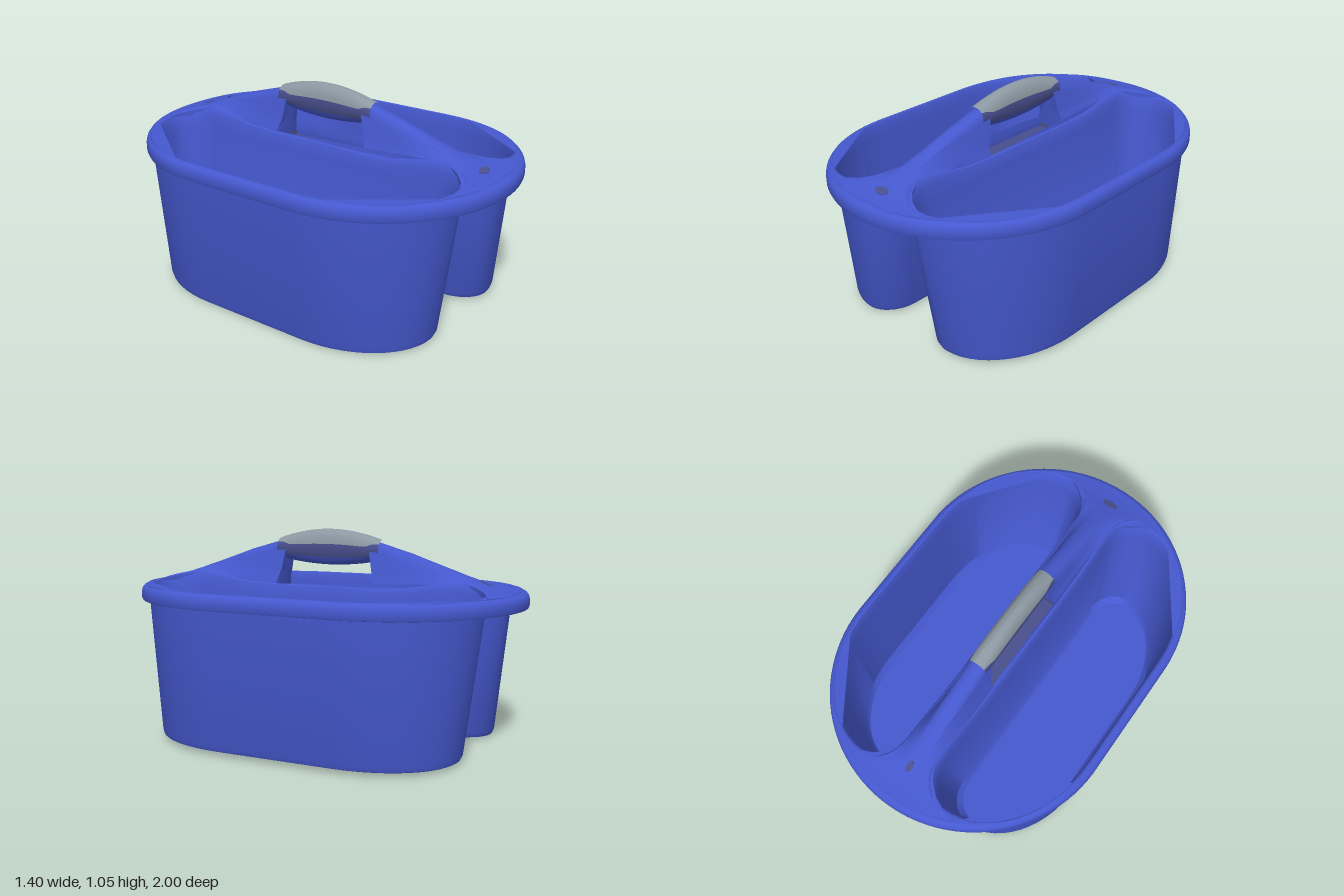
import * as THREE from 'three';
import { toCreasedNormals } from 'three/addons/utils/BufferGeometryUtils.js';

const blue = new THREE.MeshStandardMaterial({ name: 'blue plastic', color: 0x4558ce });
const grey = new THREE.MeshStandardMaterial({ name: 'grey grip', color: 0x8c99a2 });
const slate = new THREE.MeshStandardMaterial({ name: 'slate shade', color: 0x484f8c });

const RIM_TOP = 0.757;
const { lerp, clamp, degToRad, smoothstep } = THREE.MathUtils;

// The rim top swells gently where the handle legs run out
function swell(x, z) {
  const d = Math.abs(z);
  return 0.05 * Math.exp(-Math.max(0, Math.abs(x) - 0.08) / 0.1)
    * smoothstep(d, 0.35, 0.7) * (1 - smoothstep(d, 0.85, 0.97));
}

// Skin a list of equally long rows of [x, y, z] points
function loft(rows, closed = true, crease = 0.65) {
  const n = rows[0].length, index = [];
  for (let i = 0; i < rows.length - 1; i++) {
    for (let j = 0; j < (closed ? n : n - 1); j++) {
      const a = i * n + j, b = i * n + (j + 1) % n;
      index.push(a, a + n, b, b, a + n, b + n);
    }
  }
  const g = new THREE.BufferGeometry();
  g.setAttribute('position', new THREE.Float32BufferAttribute(rows.flat(2), 3));
  g.setIndex(index);
  return toCreasedNormals(g, crease);
}

function part(name, geometry, material, parent) {
  const mesh = new THREE.Mesh(geometry, material);
  mesh.name = name;
  parent.add(mesh);
  return mesh;
}

// D-shaped plan of a bin: flat inner side, rounded outer side
function binOutline(inner, outer, len) {
  const s = 0.3, px = inner + 0.14, pz = len - 0.17;
  const cz = s + 0.55 * (len - s), cx = px + 0.55 * (outer - px);
  const side = Array.from({ length: 9 }, (_, k) => lerp(pz, -pz, (k + 1) / 10));
  const d = new THREE.Shape();
  d.moveTo(outer, -s);
  d.lineTo(outer, s);
  d.bezierCurveTo(outer, cz, cx, len, px, len);
  d.bezierCurveTo(px - 0.077, len, inner, pz + 0.094, inner, pz);
  side.forEach(z => d.lineTo(inner, z));
  d.lineTo(inner, -pz);
  d.bezierCurveTo(inner, -pz - 0.094, px - 0.077, -len, px, -len);
  d.bezierCurveTo(cx, -len, outer, -cz, outer, -s);
  const pts = d.getPoints(14);
  pts.pop();
  return pts;
}

// Stadium plan of the rim, drawn in by the given inset
function stadium(inset) {
  const r = 0.7 - inset, n = 96;
  return Array.from({ length: n }, (_, k) => {
    const a = (k + 0.5) / n * Math.PI * 2;
    return new THREE.Vector2(r * Math.cos(a), r * Math.sin(a) + 0.3 * Math.sign(Math.sin(a)));
  });
}

const atHeight = (pts, y) => pts.map(p => [p.x, y, p.y]);

// Thin-walled bin with a shallow foot: up the outside, over the lip, down the inside
function binGeometry() {
  const steps = [
    [0.155, 0.605, 0.76, 0.012], [0.148, 0.612, 0.767, 0], [0.132, 0.628, 0.783, 0.006],
    [0.122, 0.637, 0.793, 0.03], [0.082, 0.67, 0.868, 0.69], [0.08, 0.672, 0.872, 0.72],
    [0.076, 0.674, 0.888, 0.745], [0.084, 0.666, 0.882, 0.759], [0.092, 0.658, 0.872, 0.755],
    [0.1, 0.651, 0.86, 0.735], [0.107, 0.647, 0.848, 0.69],
    [0.128, 0.627, 0.782, 0.06], [0.15, 0.6, 0.757, 0.03],
  ];
  const rows = steps.map(([i, o, l, y]) => atHeight(binOutline(i, o, l), y)
    .map(([x, h, z]) => [x, h + swell(x, z) * smoothstep(h, 0.69, 0.755), z]));
  const centre = y => rows[0].map(() => [0.38, y, 0]);
  return loft([centre(0.012), ...rows, centre(0.03)]);
}

// Height of the handle ridge along its sloping legs
const ridge = z => Math.max(RIM_TOP + 0.003, 0.75 + (0.95 - z) * 0.353);

// Handle leg: a narrow ridge that falls and spreads into a low mound on the rim
function legGeometry() {
  // z, half width at the base, spread from ridge (0) to mound (1)
  const plan = [[0.27, 0.084, 0], [0.45, 0.084, 0], [0.6, 0.084, 0], [0.7, 0.086, 0.1],
    [0.75, 0.097, 0.35], [0.8, 0.125, 0.75], [0.85, 0.18, 1], [0.9, 0.29, 1], [0.955, 0.13, 1]];
  const mound = [[0.15, 1], [0.35, 0.98], [0.5, 0.92], [0.65, 0.8], [0.82, 0.55], [1, 0]];
  const rows = plan.map(([z, b, spread], i) => {
    const base = RIM_TOP + swell(b, z);
    const h = Math.max(base + 0.002, ridge(z)), H = h - base, c = Math.min(0.045, 0.4 * H);
    const narrow = [
      [0.025, h - 0.12 * c], [0.042, h - 0.45 * c], [0.049, h - c],
      [0.06, base + Math.min(0.07, 0.45 * H)],
      [lerp(0.06, b, 0.4), base + Math.min(0.035, 0.2 * H)], [b, base],
    ];
    const half = narrow.map(([x, y], k) =>
      [lerp(x, b * mound[k][0], spread), lerp(y, base + H * mound[k][1], spread)]);
    half.push([b, 0.73]);
    const loop = [[0, h], ...half, ...half.slice().reverse().map(([x, y]) => [-x, y])];
    // the end face under the grip leans inward
    return loop.map(([x, y]) => [x, y, i ? z : z - 0.35 * clamp(y - 0.77, 0, 0.12)]);
  });
  const cap = (y, z) => rows[0].map(() => [0, y, z]);
  return loft([cap(0.85, 0.242), ...rows, cap(0.74, 0.955)]);
}

// Strip of the arched grip between two angles measured from its top
function gripStrip(from, to) {
  const rows = [];
  for (let i = 0; i <= 16; i++) {
    const t = i / 8 - 1, bulge = 1 - t * t;
    const top = 0.99 + 0.05 * bulge, bottom = 0.89 - 0.03 * bulge;
    const row = [];
    for (let j = 0; j <= 14; j++) {
      const a = degToRad(lerp(from(t), to(t), j / 14));
      row.push([0.051 * Math.sin(a), (top + bottom) / 2 + (top - bottom) / 2 * Math.cos(a), t * 0.28]);
    }
    rows.push(row);
  }
  return loft(rows, false, 1);
}

export function createModel() {
  const model = new THREE.Group();
  model.name = 'handledCaddy';

  // The body leans very slightly to one side
  const body = new THREE.Group();
  body.name = 'caddyBody';
  body.rotation.z = 0.013;
  body.position.set(0.009, 0.009, 0);
  model.add(body);

  // Top plate with two bin openings and a slot under the grip
  const plate = new THREE.Shape(stadium(0.03));
  const opening = binOutline(0.083, 0.667, 0.883);
  plate.holes.push(new THREE.Path(opening));
  plate.holes.push(new THREE.Path(opening.map(p => new THREE.Vector2(-p.x, p.y))));
  plate.holes.push(new THREE.Path([[-0.074, -0.27], [0.074, -0.27], [0.074, 0.27], [-0.074, 0.27]]
    .map(p => new THREE.Vector2(...p))));
  const plateGeo = new THREE.ExtrudeGeometry(plate, { depth: 0.034, bevelEnabled: false });
  plateGeo.rotateX(Math.PI / 2).translate(0, RIM_TOP, 0);
  const pp = plateGeo.attributes.position;
  for (let i = 0; i < pp.count; i++) {
    if (pp.getY(i) > 0.75) pp.setY(i, pp.getY(i) + swell(pp.getX(i), pp.getZ(i)));
  }
  part('topPlate', toCreasedNormals(plateGeo, 0.65), blue, body);

  // Rounded skirt around the plate
  const skirt = [[0.028, 0.726], [0.024, 0.686], [0.014, 0.681], [0.004, 0.683], [0, 0.693],
    [0, 0.722], [0.004, 0.738], [0.013, 0.75], [0.03, RIM_TOP]];
  part('rimSkirt', loft(skirt.map(([d, y]) => atHeight(stadium(d), y)), true, 0.9), blue, body);

  // Bins, handle legs and small marks, each repeated by a half turn
  const bin = binGeometry(), leg = legGeometry();
  const mark = new THREE.CylinderGeometry(1, 1, 0.004, 20);
  for (const turn of [0, Math.PI]) {
    const side = new THREE.Group();
    side.name = turn ? 'rightBinAndBackLeg' : 'leftBinAndFrontLeg';
    side.rotation.y = turn;
    part('bin', bin, blue, side);
    part('handleLeg', leg, blue, side);
    const dot = part('legMark', mark, slate, side);
    const z = turn ? 0.81 : 0.87;
    dot.scale.set(turn ? 0.014 : 0.04, 1, turn ? 0.03 : 0.02);
    dot.position.set(0, ridge(z) + 0.001, z);
    dot.rotation.x = 0.34;
    body.add(side);
  }

  // Grip: grey top tapering at its ends, slate bands, blue belly
  const greyEdge = t => 80 - 28 * smoothstep(Math.abs(t), 0.7, 1);
  part('gripTop', gripStrip(t => -greyEdge(t), greyEdge), grey, body);
  part('gripBandLeft', gripStrip(greyEdge, () => 125), slate, body);
  part('gripBandRight', gripStrip(() => 235, t => 360 - greyEdge(t)), slate, body);
  part('gripBelly', gripStrip(() => 125, () => 235), blue, body);

  // Wedge bridging the gap between the bins below the grip, deepest at the back
  const wedge = new THREE.Shape([[0.3, 0.73], [0.27, 0.73], [0.27, 0.7], [-0.27, 0.7],
    [-0.27, 0.73], [-0.63, 0.73], [-0.63, 0.37], [0.3, 0.51]].map(p => new THREE.Vector2(...p)));
  const wedgeGeo = new THREE.ExtrudeGeometry(wedge, { depth: 0.19, bevelEnabled: false });
  wedgeGeo.rotateY(-Math.PI / 2).translate(0.095, 0, 0);
  const pos = wedgeGeo.attributes.position;
  for (let i = 0; i < pos.count; i++) {
    if (pos.getY(i) < 0.45) pos.setY(i, pos.getY(i) - 0.65 * pos.getX(i));
  }
  wedgeGeo.computeVertexNormals();
  part('gripWedge', wedgeGeo, slate, body);

  return model;
}
